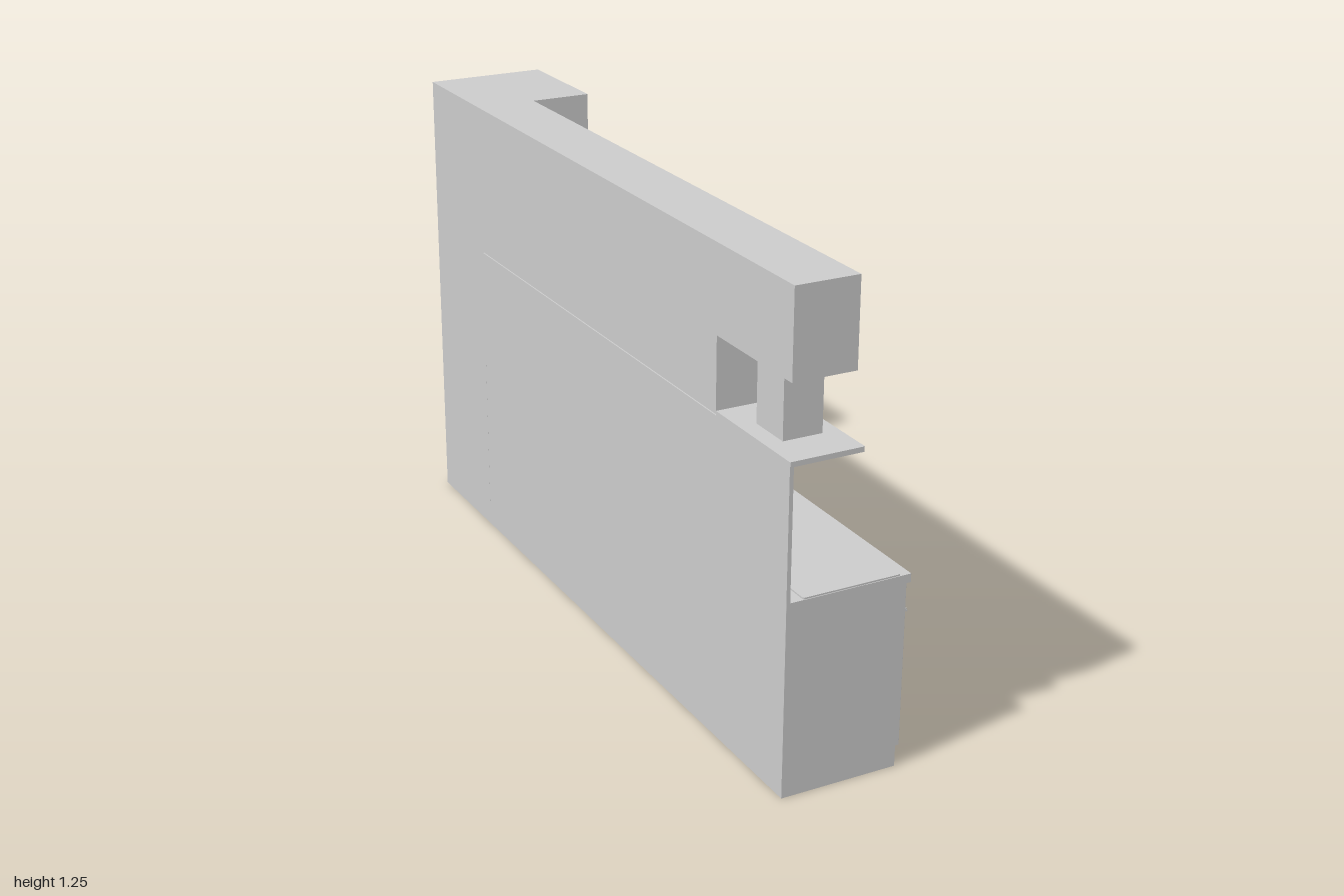
import * as THREE from 'three';

const grey = new THREE.MeshStandardMaterial({ color: 0xcccccc });

function add(parent, name, geometry) {
  const mesh = new THREE.Mesh(geometry, grey);
  mesh.name = name;
  parent.add(mesh);
  return mesh;
}

// Box given by its limits on each axis
function block(parent, name, [x0, x1], [y0, y1], [z0, z1]) {
  const mesh = add(parent, name, new THREE.BoxGeometry(x1 - x0, y1 - y0, z1 - z0));
  mesh.position.set((x0 + x1) / 2, (y0 + y1) / 2, (z0 + z1) / 2);
  return mesh;
}

// Rounded rectangle in plan (shape y is -z)
function plan(Type, [x0, x1], [z0, z1], r) {
  const p = new Type();
  const a = -z1, b = -z0;
  p.moveTo(x0 + r, a);
  p.lineTo(x1 - r, a);
  p.quadraticCurveTo(x1, a, x1, a + r);
  p.lineTo(x1, b - r);
  p.quadraticCurveTo(x1, b, x1 - r, b);
  p.lineTo(x0 + r, b);
  p.quadraticCurveTo(x0, b, x0, b - r);
  p.lineTo(x0, a + r);
  p.quadraticCurveTo(x0, a, x0 + r, a);
  return p;
}

// Horizontal slab with an optional opening
function slab(parent, name, xs, [y0, y1], zs, r = 0.0005, hole = null) {
  const shape = plan(THREE.Shape, xs, zs, r);
  if (hole) shape.holes.push(plan(THREE.Path, hole.x, hole.z, hole.r));
  const geometry = new THREE.ExtrudeGeometry(shape, { depth: y1 - y0, bevelEnabled: false, curveSegments: 5 });
  geometry.rotateX(-Math.PI / 2);
  const mesh = add(parent, name, geometry);
  mesh.position.y = y0;
  return mesh;
}

// Bar handle on two posts, running along z
function handle(parent, name, x, y, z, length = 0.145, reach = 0.013) {
  const group = new THREE.Group();
  group.name = name;
  const bar = add(group, 'handleBar', new THREE.CylinderGeometry(0.003, 0.003, length, 10));
  bar.rotation.x = Math.PI / 2;
  bar.position.x = reach;
  for (const side of [-1, 1]) {
    const post = add(group, 'handlePost', new THREE.CylinderGeometry(0.0025, 0.0025, reach, 8));
    post.rotation.z = Math.PI / 2;
    post.position.set(reach / 2, 0, side * (length / 2 - 0.012));
  }
  group.position.set(x, y, z);
  parent.add(group);
}

function tube(parent, name, path, radius, segments = 8) {
  return add(parent, name, new THREE.TubeGeometry(path, segments, radius, 10, false));
}

const v = (x, y, z) => new THREE.Vector3(x, y, z);
const BACK = -0.175;
const RUN = [-0.67, 1];
const HANDLE_Z = [0.502, 0.167, -0.167, -0.502];
const basin = { x: [-0.09, 0.12], z: [0.02, 0.305], r: 0.016 };
const basinOuter = { x: [-0.094, 0.124], z: [0.016, 0.309], r: 0.018 };

function buildBase(root) {
  const g = new THREE.Group();
  g.name = 'baseCabinets';
  block(g, 'plinth', [BACK, 0.135], [0, 0.055], RUN);
  slab(g, 'baseCarcass', [BACK, 0.145], [0.055, 0.48], RUN, 0.0005, basinOuter);
  slab(g, 'worktop', [BACK, 0.157], [0.48, 0.502], RUN, 0.0005, basin);
  HANDLE_Z.forEach(z => handle(g, 'baseHandle', 0.145, 0.455, z));
  [0.36, 0.23].forEach(y => handle(g, 'drawerHandle', 0.145, y, 0.502));

  // Oven below the hob
  block(g, 'ovenTrim', [0.14, 0.149], [0.409, 0.415], [0.67, 1]);
  handle(g, 'ovenHandle', 0.145, 0.398, 0.835, 0.295, 0.016);
  handle(g, 'ovenDrawerHandle', 0.145, 0.12, 0.83);
  slab(g, 'hob', [-0.13, 0.13], [0.502, 0.506], [0.672, 0.998], 0.006);
  root.add(g);
}

function buildSink(root) {
  const g = new THREE.Group();
  g.name = 'sink';
  slab(g, 'basinWall', basinOuter.x, [0.385, 0.48], basinOuter.z, basinOuter.r, basin);
  slab(g, 'basinFloor', basinOuter.x, [0.38, 0.385], basinOuter.z, basinOuter.r);
  slab(g, 'sinkRim', [-0.135, 0.128], [0.502, 0.504], [0.005, 0.32], 0.016, basin);
  const drain = add(g, 'drain', new THREE.CylinderGeometry(0.014, 0.014, 0.002, 20));
  drain.position.set(0.015, 0.386, 0.163);

  // Arched tap with a pull-down spout
  const z = 0.165;
  const base = add(g, 'tapBase', new THREE.CylinderGeometry(0.008, 0.009, 0.13, 16));
  base.position.set(-0.114, 0.567, z);
  const neck = new THREE.CurvePath();
  neck.add(new THREE.LineCurve3(v(-0.115, 0.5, z), v(-0.115, 0.68, z)));
  const arc = [];
  for (let i = 0; i <= 12; i++) {
    const a = Math.PI * (1 - i / 12);
    arc.push(v(-0.064 + 0.051 * Math.cos(a), 0.68 + 0.051 * Math.sin(a), z));
  }
  neck.add(new THREE.CatmullRomCurve3(arc));
  neck.add(new THREE.LineCurve3(v(-0.013, 0.68, z), v(-0.013, 0.62, z)));
  tube(g, 'tapNeck', neck, 0.005, 48);
  tube(g, 'tapBrace', new THREE.LineCurve3(v(-0.112, 0.635, z), v(-0.013, 0.635, z)), 0.003, 1);
  const spout = add(g, 'tapSpout', new THREE.CylinderGeometry(0.007, 0.007, 0.055, 16));
  spout.position.set(-0.013, 0.613, z);
  tube(g, 'tapLeverStem', new THREE.LineCurve3(v(-0.114, 0.58, z), v(-0.114, 0.58, 0.125)), 0.005, 1);
  tube(g, 'tapLever', new THREE.LineCurve3(v(-0.114, 0.578, 0.128), v(-0.114, 0.618, 0.128)), 0.003, 1);
  root.add(g);
}

function buildUpper(root) {
  const g = new THREE.Group();
  g.name = 'wallCabinets';
  block(g, 'backsplash', [BACK, -0.165], [0.502, 0.835], RUN);
  block(g, 'wallCabinet', [BACK, -0.01], [0.838, 1.25], [-0.67, 0.67]);
  block(g, 'hoodCabinet', [BACK, -0.01], [1.03, 1.25], [0.67, 1]);
  HANDLE_Z.forEach(z => handle(g, 'wallHandle', -0.01, 0.86, z));
  handle(g, 'hoodCabinetHandle', -0.01, 1.055, 0.83);

  // Extractor hood with a recessed filter
  const inset = { x: [-0.155, -0.005], z: [0.695, 0.975], r: 0.003 };
  slab(g, 'hoodFrame', [BACK, 0.017], [0.833, 0.84], [0.668, 1], 0.003, inset);
  slab(g, 'hoodTop', [BACK, 0.017], [0.84, 0.846], [0.668, 1], 0.003);
  block(g, 'hoodFilter', [-0.145, -0.015], [0.836, 0.841], [0.71, 0.96]);
  block(g, 'hoodChimney', [-0.13, -0.027], [0.846, 1.03], [0.777, 0.893]);
  root.add(g);
}

function buildTall(root) {
  const g = new THREE.Group();
  g.name = 'tallFridgeUnit';
  block(g, 'tallCarcass', [BACK, 0.143], [0, 1.25], [-1, -0.67]);
  block(g, 'topCupboardFront', [0.143, 0.155], [1.085, 1.25], [-1, -0.67]);
  handle(g, 'topCupboardHandle', 0.155, 1.11, -0.835, 0.148, 0.014);
  const width = [-0.988, -0.682];
  block(g, 'freezerDoor', [0.143, 0.155], [0.008, 0.478], width);
  block(g, 'fridgeDoor', [0.143, 0.155], [0.484, 1.055], width);
  block(g, 'fridgeTopTrim', [0.155, 0.158], [1.03, 1.055], width);
  for (const z of [-0.997, -0.679]) {
    block(g, 'fridgeSideStrip', [0.143, 0.152], [0.004, 1.055], [z, z + 0.006]);
  }

  // Curved grip lips at the lower edge of each door
  for (const y of [0.484, 0.018]) {
    const lip = new THREE.Shape();
    lip.moveTo(-0.13, 0);
    lip.quadraticCurveTo(-0.11, -0.013, -0.07, -0.013);
    lip.lineTo(0.07, -0.013);
    lip.quadraticCurveTo(0.11, -0.013, 0.13, 0);
    const geometry = new THREE.ExtrudeGeometry(lip, { depth: 0.003, bevelEnabled: false, curveSegments: 8 });
    geometry.rotateY(Math.PI / 2);
    add(g, 'doorGrip', geometry).position.set(0.154, y, -0.835);
  }
  root.add(g);
}

export function createModel() {
  const root = new THREE.Group();
  root.name = 'kitchen';
  buildBase(root);
  buildSink(root);
  buildUpper(root);
  buildTall(root);
  return root;
}
